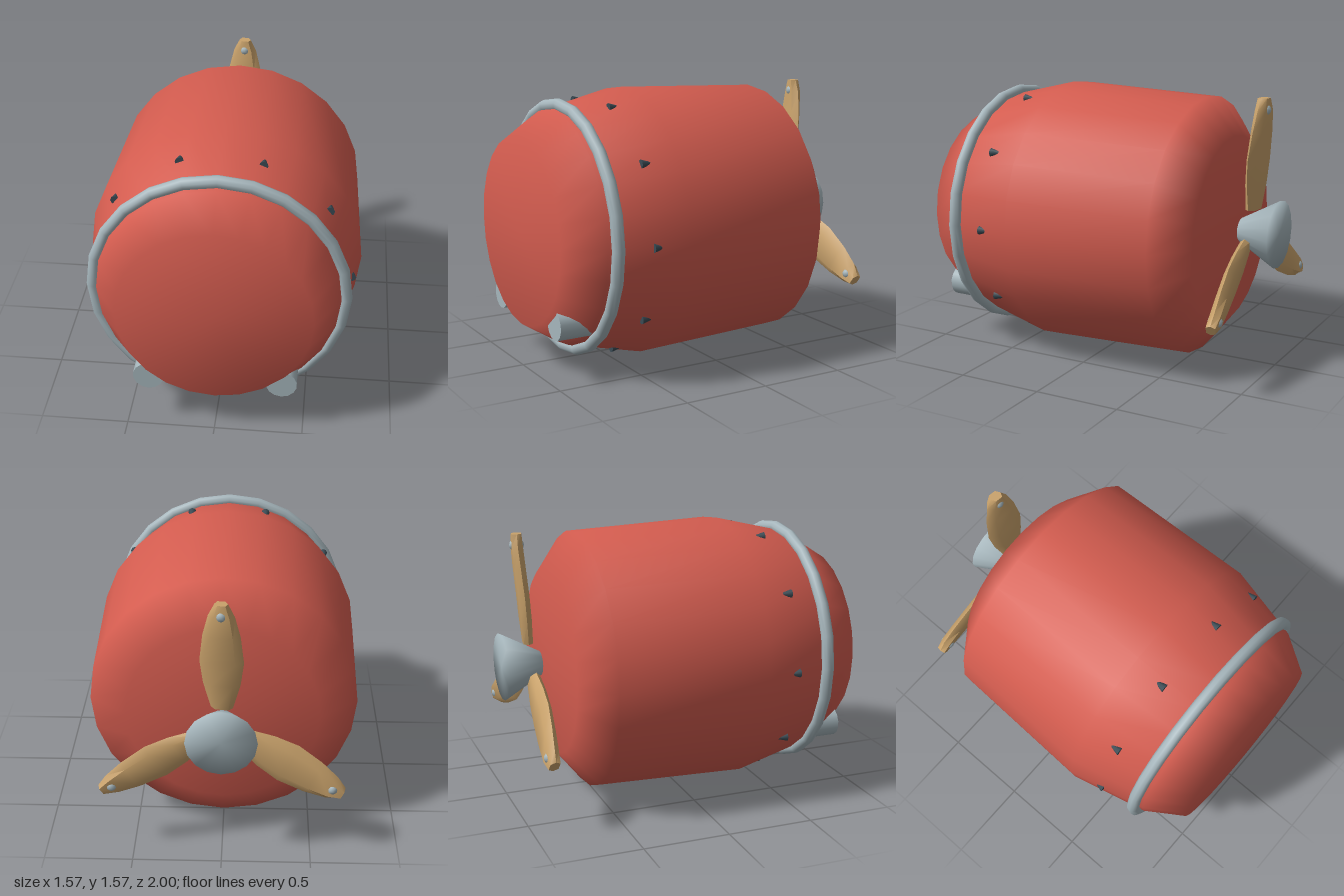
import * as THREE from 'three';
import { toCreasedNormals } from 'three/addons/utils/BufferGeometryUtils.js';

const material = (name, color, side = THREE.FrontSide) => {
  const m = new THREE.MeshStandardMaterial({ color, side });
  m.name = name;
  return m;
};

// Solid of revolution around the z axis; points are [radius, z] from back to front
function latheZ(points, sides) {
  return new THREE.LatheGeometry(points.map(([r, z]) => new THREE.Vector2(r, z)), sides).rotateX(Math.PI / 2);
}

// Thick blade along +y, lofted through hexagonal sections: [distance, half width, half thickness, z]
function bladeGeometry() {
  const stations = [
    [0.13, 0.06, 0.028, -0.84], [0.28, 0.1, 0.032, -0.85], [0.42, 0.118, 0.032, -0.86],
    [0.58, 0.1, 0.032, -0.875], [0.7, 0.07, 0.032, -0.885], [0.77, 0.035, 0.028, -0.885],
  ];
  const section = [[1, 0], [0.6, 1], [-0.6, 1], [-1, 0], [-0.6, -1], [0.6, -1]];
  const n = section.length;
  const pos = [], idx = [];
  const pitch = Math.tan(0.14);
  for (const [r, w, t, z] of stations)
    for (const [u, v] of section) pos.push(u * w, r, z + v * t + u * w * pitch);
  for (let j = 0; j < stations.length - 1; j++)
    for (let i = 0; i < n; i++) {
      const a = j * n + i, b = j * n + (i + 1) % n;
      idx.push(a, a + n, b, b, a + n, b + n);
    }
  const top = (stations.length - 1) * n;
  for (let i = 1; i < n - 1; i++) {
    idx.push(0, i, i + 1);
    idx.push(top, top + i + 1, top + i);
  }
  const g = new THREE.BufferGeometry();
  g.setAttribute('position', new THREE.Float32BufferAttribute(pos, 3));
  g.setIndex(idx);
  return toCreasedNormals(g, 0.9);
}

export function createModel() {
  const red = material('red paint', 0xd35c4f);
  const steel = material('light steel', 0xa6b6bc);
  const wood = material('tan wood', 0xc9a26b);
  const dark = material('dark iron', 0x3a4b54);

  const model = new THREE.Group();
  const machine = new THREE.Group();
  machine.name = 'machine';
  machine.position.y = 0.787;
  model.add(machine);

  const add = (name, geometry, mat, parent = machine) => {
    const mesh = new THREE.Mesh(geometry, mat);
    mesh.name = name;
    parent.add(mesh);
    return mesh;
  };

  // Barrel body
  add('body', latheZ([
    [0, -0.71], [0.54, -0.71], [0.755, -0.54], [0.785, 0.34], [0.675, 0.79], [0.54, 1], [0, 1],
  ], 24), red);

  // Hoop around the nose
  add('hoop', new THREE.TorusGeometry(0.703, 0.036, 10, 24), steel).position.z = 0.742;

  // Ten tapered studs behind the hoop
  const studGeometry = new THREE.CylinderGeometry(0.026, 0.009, 0.06, 8).rotateX(Math.PI / 2);
  for (let i = 0; i < 10; i++) {
    const a = i * Math.PI / 5;
    add('stud', studGeometry, dark).position.set(Math.cos(a) * 0.732, Math.sin(a) * 0.732, 0.517);
  }

  // Two round pegs sunk into the lower nose
  for (const side of [-1, 1]) {
    const peg = add(side > 0 ? 'leftPeg' : 'rightPeg',
      new THREE.CylinderGeometry(0.087, 0.087, 0.27, 14).rotateX(Math.PI / 2), steel);
    peg.position.set(side * 0.374, -0.455, 0.835);
  }

  // Propeller: flared hub and three blades with a rivet near each tip
  const propeller = new THREE.Group();
  propeller.name = 'propeller';
  machine.add(propeller);
  add('hub', latheZ([[0, -1], [0.196, -1], [0.07, -0.77], [0, -0.77]], 16), steel, propeller);

  const blade = bladeGeometry();
  const rivet = new THREE.SphereGeometry(0.036, 12, 8).scale(1, 1, 1.2);
  for (let i = 0; i < 3; i++) {
    const arm = new THREE.Group();
    arm.name = 'propellerArm';
    arm.rotation.z = i * Math.PI * 2 / 3;
    add('blade', blade, wood, arm);
    add('rivet', rivet, steel, arm).position.set(0, 0.705, -0.885);
    propeller.add(arm);
  }
  return model;
}
